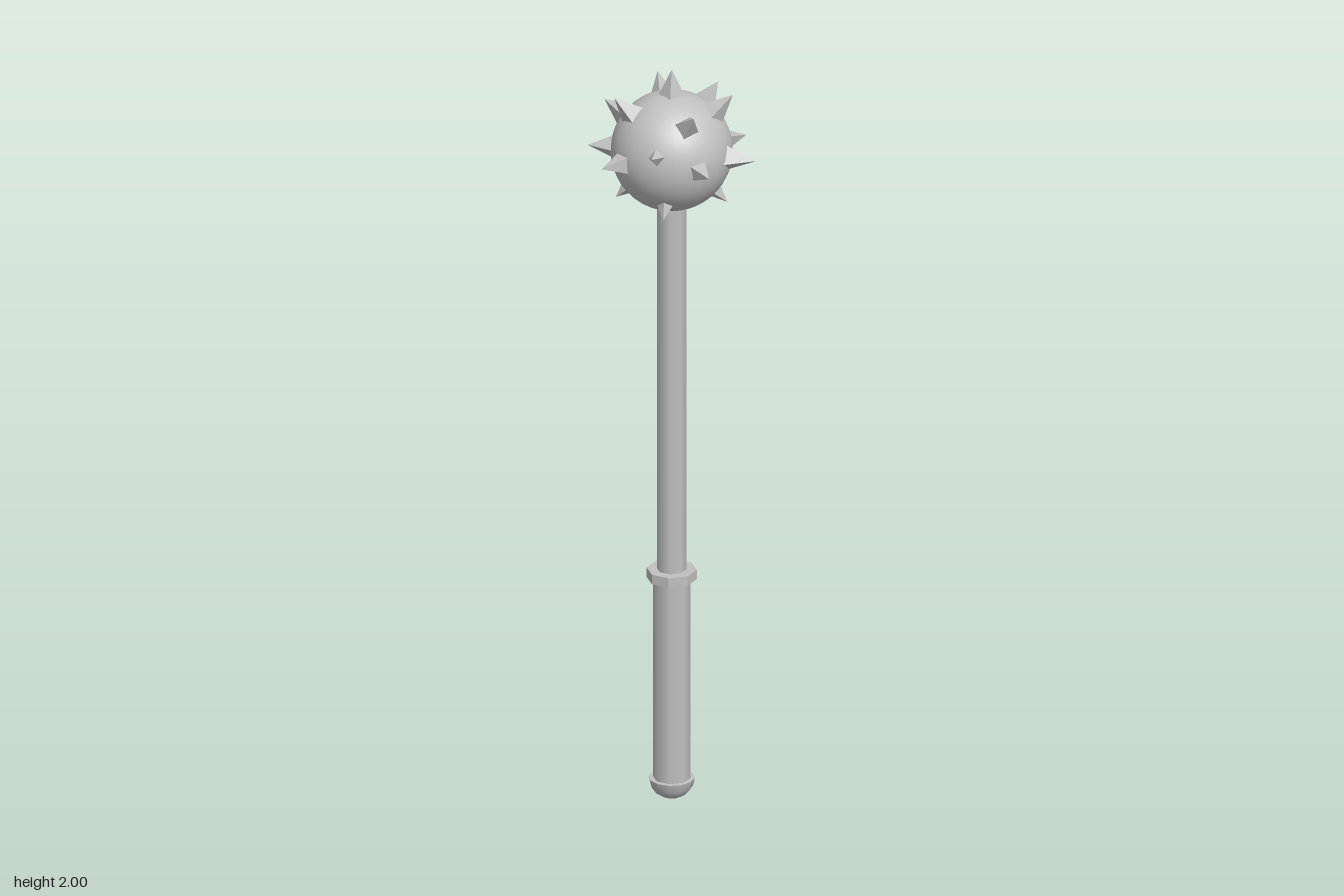
import * as THREE from 'three';

export function createModel() {
  const group = new THREE.Group();
  const steel = new THREE.MeshStandardMaterial({ color: 0xc0c0c0 });
  steel.name = 'steel';
  const facetedSteel = steel.clone();
  facetedSteel.flatShading = true;
  facetedSteel.name = 'facetedSteel';

  // Everything hangs on one slightly offset vertical axis
  const weapon = new THREE.Group();
  weapon.name = 'mace';
  weapon.position.set(-0.004, 0, 0.007);
  group.add(weapon);

  function add(name, geometry, material, parent = weapon) {
    const mesh = new THREE.Mesh(geometry, material);
    mesh.name = name;
    parent.add(mesh);
    return mesh;
  }

  function rod(name, radius, y0, y1, material) {
    const mesh = add(name, new THREE.CylinderGeometry(radius, radius, y1 - y0, 8), material);
    mesh.position.y = (y0 + y1) / 2;
  }

  // Handle
  rod('shaft', 0.038, 0.6, 1.64, steel);
  rod('grip', 0.048, 0.04, 0.61, steel);
  rod('guardRing', 0.064, 0.598, 0.624, facetedSteel);
  rod('collar', 0.046, 1.624, 1.646, facetedSteel);

  // Pommel: rounded underside, flat upper face
  const dome = [[0, 0], [0.028, 0.002], [0.043, 0.012], [0.054, 0.028], [0.059, 0.05]];
  add('pommel', new THREE.LatheGeometry(dome.map(([r, y]) => new THREE.Vector2(r, y)), 12), steel);
  const cap = add('pommelTop', new THREE.CircleGeometry(0.059, 12), steel);
  cap.rotation.set(-Math.PI / 2, 0, 0);
  cap.position.y = 0.05;

  // Spiked head
  const head = new THREE.Group();
  head.name = 'head';
  head.position.y = 1.778;
  weapon.add(head);
  add('ball', new THREE.SphereGeometry(0.155, 32, 24), steel, head);

  // Spike tips relative to the ball centre
  const tips = [
    [0, 0.222, 0],
    // upper ring
    [0.156, 0.16, 0], [0.072, 0.15, 0.142], [-0.14, 0.163, 0.06],
    [-0.054, 0.15, -0.153], [0.099, 0.125, -0.162],
    // middle ring
    [-0.215, 0, -0.008], [-0.183, 0.09, -0.097], [-0.065, 0, -0.208], [0.176, 0, -0.119],
    [0.221, 0, 0.046], [0.117, 0, 0.176], [-0.028, 0.052, 0.19], [-0.162, 0, 0.144],
    // lower ring
    [0.076, -0.1, -0.178], [0.142, -0.136, 0], [-0.142, -0.136, 0],
    [-0.005, -0.135, 0.14], [-0.01, -0.138, -0.135],
  ];
  const up = new THREE.Vector3(0, 1, 0);
  const length = 0.1;
  const spike = new THREE.ConeGeometry(0.047, length, 4);
  for (const tip of tips) {
    const end = new THREE.Vector3(...tip);
    const dir = end.clone().normalize();
    const mesh = add('spike', spike, facetedSteel, head);
    mesh.quaternion.setFromUnitVectors(up, dir);
    mesh.position.copy(end).addScaledVector(dir, -length / 2);
  }

  return group;
}
